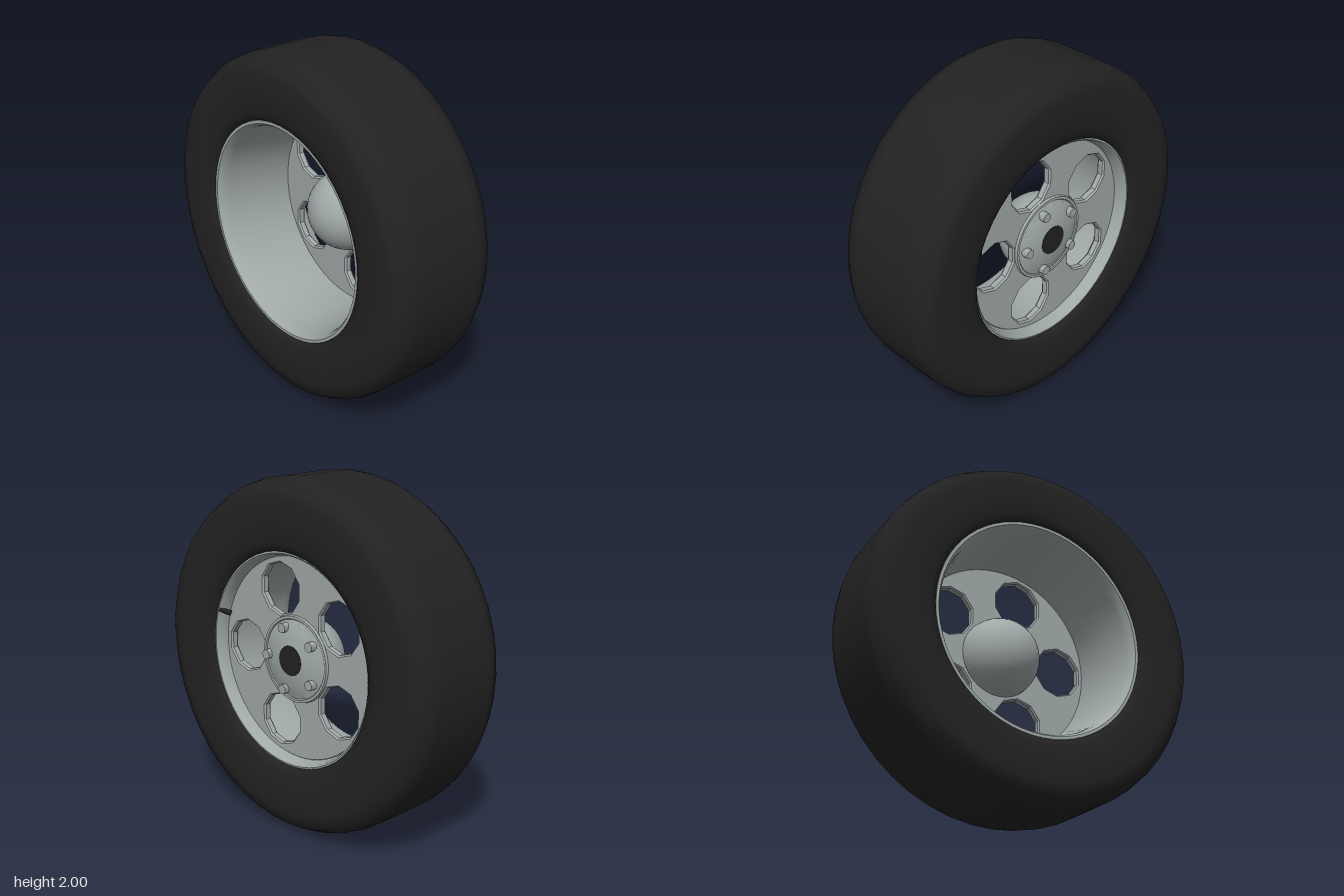
import * as THREE from 'three';
import { toCreasedNormals } from 'three/addons/utils/BufferGeometryUtils.js';

export function createModel() {
  const rubber = new THREE.MeshStandardMaterial({ color: 0x222222 });
  rubber.name = 'black rubber';
  const metal = new THREE.MeshStandardMaterial({ color: 0xa0a8a8, side: THREE.DoubleSide });
  metal.name = 'grey metal';

  const model = new THREE.Group();
  model.name = 'wheel';
  const wheel = new THREE.Group();
  wheel.name = 'wheelAssembly';
  wheel.position.y = 1;
  model.add(wheel);

  const add = (name, geometry, material, x = 0, y = 0, z = 0) => {
    const mesh = new THREE.Mesh(geometry, material);
    mesh.name = name;
    mesh.position.set(x, y, z);
    wheel.add(mesh);
    return mesh;
  };
  // Revolves [radius, z] points about the axle
  const revolve = (points, segments) =>
    new THREE.LatheGeometry(points.map(([r, z]) => new THREE.Vector2(r, z)), segments).rotateX(Math.PI / 2);
  const cylinder = (r, length, sides) =>
    new THREE.CylinderGeometry(r, r, length, sides).rotateX(Math.PI / 2);

  // Tyre with rounded shoulders and nearly flat sidewalls
  add('tyre', revolve([
    [0.605, -0.27], [0.61, -0.305], [0.66, -0.325], [0.76, -0.335], [0.88, -0.335],
    [0.95, -0.318], [0.988, -0.25], [1, -0.19], [1, 0.19], [0.988, 0.25],
    [0.95, 0.318], [0.88, 0.335], [0.76, 0.335], [0.68, 0.325], [0.64, 0.305], [0.635, 0.27],
  ], 48), rubber);

  // Deep open rim barrel with a rolled lip at each end
  add('rimBarrel', toCreasedNormals(revolve([
    [0.612, -0.27], [0.61, -0.292], [0.598, -0.295], [0.588, -0.285], [0.578, -0.235],
    [0.565, -0.18], [0.597, 0.24], [0.605, 0.28], [0.62, 0.303], [0.637, 0.303], [0.642, 0.27],
  ], 64), 0.6), metal);

  // Wheel disc with five ten-sided openings
  const discShape = new THREE.Shape().absarc(0, 0, 0.572, 0, Math.PI * 2);
  for (let i = 0; i < 5; i++) {
    const turn = (i * Math.PI * 2) / 5;
    const corners = [];
    for (let j = 0; j < 10; j++) {
      const a = turn + Math.PI / 2 - (j * Math.PI) / 5;
      corners.push(new THREE.Vector2(
        0.397 * Math.cos(turn) + 0.155 * Math.cos(a),
        0.397 * Math.sin(turn) + 0.155 * Math.sin(a)));
    }
    discShape.holes.push(new THREE.Path(corners));
  }
  add('wheelDisc', new THREE.ExtrudeGeometry(discShape, {
    depth: 0.03, bevelThickness: 0.01, bevelSize: 0.008, bevelSegments: 1, curveSegments: 32,
  }), metal, 0, 0, -0.215);

  // Round dome on the inner side
  add('hubDome', new THREE.SphereGeometry(0.235, 32, 12, 0, Math.PI * 2, 0, Math.PI / 2)
    .rotateX(Math.PI / 2), metal, 0, 0, -0.175);

  // Raised hub on the outer side
  add('hubPlate', toCreasedNormals(revolve([
    [0.085, -0.25], [0.085, -0.272], [0.14, -0.263], [0.19, -0.25], [0.225, -0.234],
    [0.23, -0.24], [0.245, -0.24], [0.25, -0.22],
  ], 40), 0.5), metal);
  add('axleCap', cylinder(0.085, 0.04, 24), rubber, 0, 0, -0.254);

  // Five wheel bolts
  for (let i = 0; i < 5; i++) {
    const a = (i * Math.PI * 2) / 5;
    add('wheelBolt', toCreasedNormals(cylinder(0.028, 0.07, 10), 0.7), metal,
      0.185 * Math.cos(a), 0.185 * Math.sin(a), -0.247);
  }

  // Valve stem beside the rim lip
  const valve = add('valveStem', new THREE.CylinderGeometry(0.012, 0.016, 0.07, 8), rubber, 0.545, 0.18, -0.265);
  valve.rotation.set(-1.1, 0, -0.6);

  return model;
}
